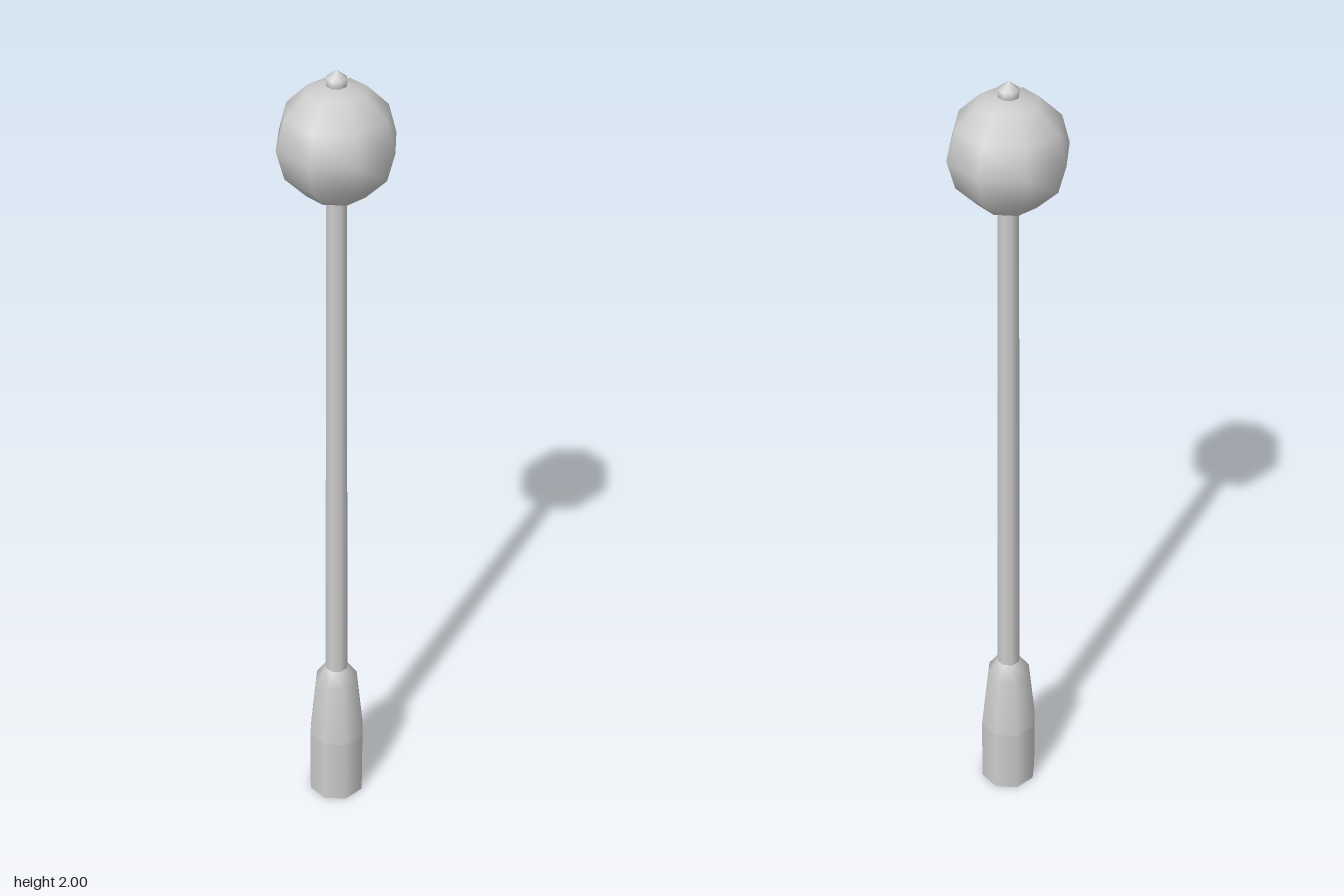
import * as THREE from 'three';

const SIDES = 8;

export function createModel() {
  const model = new THREE.Group();
  const material = new THREE.MeshStandardMaterial({ color: 0xcccccc });

  const add = (name, geometry, y = 0) => {
    const mesh = new THREE.Mesh(geometry, material);
    mesh.name = name;
    mesh.position.y = y;
    model.add(mesh);
  };
  // Turned part from [radius, height] pairs, listed bottom to top
  const turned = (points) =>
    new THREE.LatheGeometry(points.map(([r, y]) => new THREE.Vector2(r, y)), SIDES);

  // Base: straight foot with a closed underside, then a tapering shoulder
  add('baseUnderside', turned([[0, 0], [0.071, 0]]));
  add('baseFoot', turned([[0.071, 0], [0.071, 0.185]]));
  add('baseShoulder', turned([[0.071, 0.185], [0.054, 0.355], [0.029, 0.393]]));

  // Slender pole, slightly narrower at the top
  add('pole', turned([[0.029, 0.39], [0.024, 1.72]]));

  // Globe lamp
  add('globe', new THREE.SphereGeometry(0.136, SIDES, 6), 1.835);

  // Small pointed cap on the globe
  add('finial', turned([[0.019, 1.955], [0.024, 1.968], [0.023, 1.982], [0, 2]]));

  return model;
}
